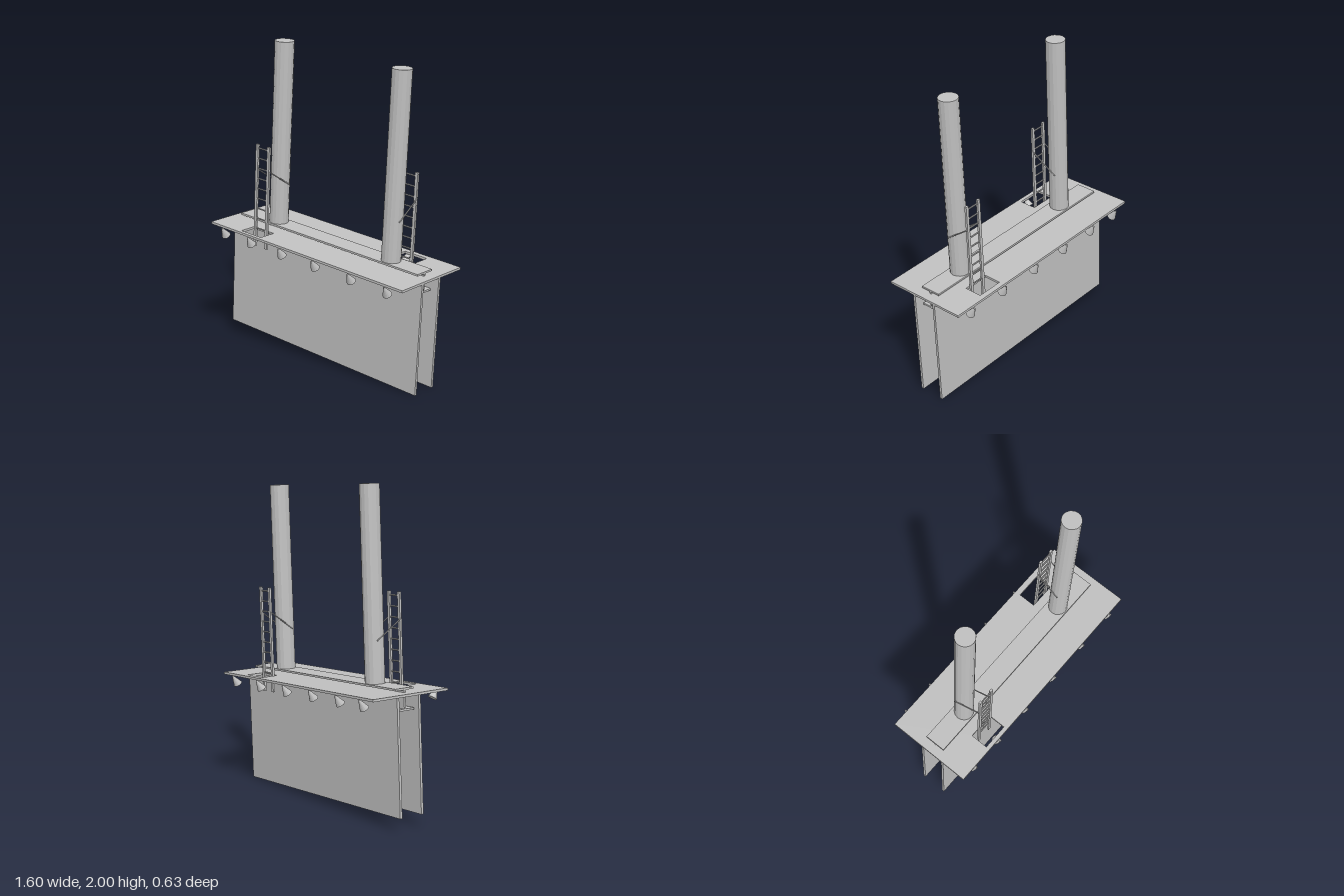
import * as THREE from 'three';

export function createModel() {
  const grey = new THREE.MeshStandardMaterial({ color: 0xc0c0c0, flatShading: true });
  const model = new THREE.Group();

  // Everything hangs off a leaning frame whose origin is the middle of the deck top
  const frame = new THREE.Group();
  frame.name = 'billboardFrame';
  frame.position.set(0, 0.775, -0.006);
  frame.rotation.set(0, THREE.MathUtils.degToRad(-1.8), THREE.MathUtils.degToRad(-3.2));
  model.add(frame);

  const add = (name, geometry, x, y, z, parent = frame) => {
    const mesh = new THREE.Mesh(geometry, grey);
    mesh.name = name;
    mesh.position.set(x, y, z);
    parent.add(mesh);
    return mesh;
  };
  const box = (name, w, h, d, x, y, z, parent) =>
    add(name, new THREE.BoxGeometry(w, h, d), x, y, z, parent);

  // Thin rod between two points
  const rod = (name, a, b, radius, parent) => {
    const dir = b.clone().sub(a);
    const mid = a.clone().add(b).multiplyScalar(0.5);
    const mesh = add(name, new THREE.CylinderGeometry(radius, radius, dir.length(), 8), mid.x, mid.y, mid.z, parent);
    mesh.quaternion.setFromUnitVectors(new THREE.Vector3(0, 1, 0), dir.normalize());
  };

  const rect = (Type, x0, x1, y0, y1) => {
    const path = new Type();
    path.moveTo(x0, y0);
    path.lineTo(x1, y0);
    path.lineTo(x1, y1);
    path.lineTo(x0, y1);
    path.closePath();
    return path;
  };

  // One column, hatch and ladder at each end, turned half round from each other
  const stations = [
    { x: -0.455, side: 1, hatchZ: 0.194, ladderZ: 0.162 },
    { x: 0.476, side: -1, hatchZ: -0.184, ladderZ: -0.138 },
  ];

  // Deck with two ladder hatches (shape y becomes -z)
  const deckShape = rect(THREE.Shape, -0.79, 0.79, -0.277, 0.277);
  for (const s of stations) {
    deckShape.holes.push(rect(THREE.Path, s.x - 0.085, s.x + 0.085, -s.hatchZ - 0.057, -s.hatchZ + 0.057));
  }
  const deckGeometry = new THREE.ExtrudeGeometry(deckShape, { depth: 0.015, bevelEnabled: false });
  deckGeometry.rotateX(-Math.PI / 2);
  add('deck', deckGeometry, 0, -0.015, 0);

  // I-beam running through the deck
  box('beamTopFlange', 1.464, 0.012, 0.135, 0.001, 0.021, 0);
  box('beamWeb', 1.464, 0.115, 0.012, 0.001, -0.042, 0);
  box('beamBottomFlange', 1.464, 0.012, 0.135, 0.001, -0.102, 0);

  // Sign panels
  box('frontPanel', 1.552, 0.712, 0.016, 0.0125, -0.371, 0.083);
  box('backPanel', 1.552, 0.712, 0.016, 0.0125, -0.371, -0.076);

  // Columns and ladders
  for (const s of stations) {
    add('column', new THREE.CylinderGeometry(0.061, 0.061, 1.175, 16), s.x, 0.6145, 0);

    const ladder = new THREE.Group();
    ladder.name = 'ladder';
    ladder.position.set(s.x, 0, s.ladderZ);
    frame.add(ladder);
    for (const e of [-1, 1]) {
      box('ladderRail', 0.02, 0.67, 0.014, e * 0.0485, 0.225, 0, ladder);
      // Brace slopes from the rail down past the side of the column
      rod('ladderBrace', new THREE.Vector3(e * 0.061, 0.401, 0),
        new THREE.Vector3(e * 0.061, 0.285, -s.ladderZ - s.side * 0.02), 0.004, ladder);
    }
    for (let i = 0; i < 9; i++) {
      const y = 0.536 - i * 0.0657;
      rod('ladderRung', new THREE.Vector3(-0.045, y, 0), new THREE.Vector3(0.045, y, 0), 0.005, ladder);
    }
  }

  // Lamps under both long edges, aimed in at the panels
  const lampGeometry = new THREE.CylinderGeometry(0.005, 0.029, 0.067, 16);
  lampGeometry.translate(0, -0.0335, 0);
  for (const side of [-1, 1]) {
    for (const x of [-0.676, -0.447, -0.181, 0.097, 0.386, 0.664]) {
      add('lamp', lampGeometry, x, -0.013, side * 0.29).rotation.x = side * 0.59;
    }
  }

  return model;
}
